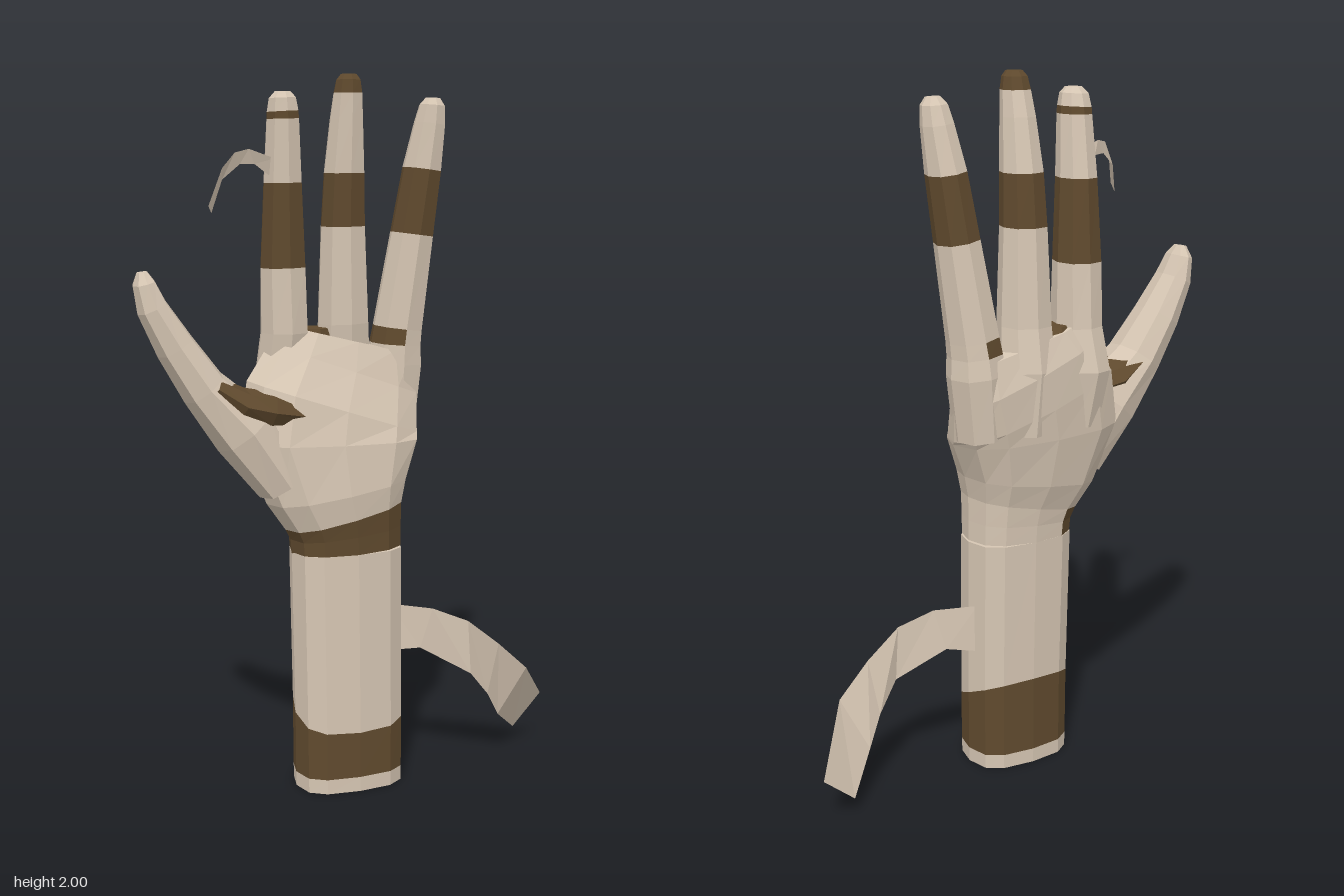
import * as THREE from 'three';

export function createModel() {
  const hand = new THREE.Group();
  hand.name = 'wrappedHand';
  const bandage = new THREE.MeshStandardMaterial({ color: 0xd6c6b3, side: THREE.DoubleSide });
  bandage.name = 'bandage';
  const stain = new THREE.MeshStandardMaterial({ color: 0x604a2e });
  stain.name = 'darkStain';

  function addFaces(name, light, dark) {
    const geo = new THREE.BufferGeometry();
    geo.setAttribute('position', new THREE.Float32BufferAttribute([...light, ...dark], 3));
    geo.addGroup(0, light.length / 3, 0);
    geo.addGroup(light.length / 3, dark.length / 3, 1);
    geo.computeVertexNormals(); // unshared corners keep every facet flat
    const mesh = new THREE.Mesh(geo, [bandage, stain]);
    mesh.name = name;
    hand.add(mesh);
  }

  // Faceted limb through sections [x, y, z, half width, half depth, dark, shear].
  // "dark" colours the band above a section: true, or a test on (cos, sin) around the limb.
  function limb(name, sections, sides = 8, squareness = 0.8) {
    const light = [], dark = [];
    const power = v => Math.sign(v) * Math.abs(v) ** squareness;
    const rings = sections.map(([x, y, z, rx, rz, , shear = 0], i) => {
      const a = sections[Math.max(i - 1, 0)], b = sections[Math.min(i + 1, sections.length - 1)];
      const len = Math.hypot(b[0] - a[0], b[1] - a[1]);
      const px = (b[1] - a[1]) / len, py = -(b[0] - a[0]) / len;
      return Array.from({ length: sides }, (_, j) => {
        const t = (j / sides) * Math.PI * 2;
        const u = power(Math.cos(t)) * rx, w = power(Math.sin(t)) * rz;
        return [x + px * u, y + py * u + shear * w, z + w];
      });
    });
    const last = rings.length - 1;
    for (let j = 0; j < sides; j++) {
      const k = (j + 1) % sides, mid = ((j + 0.5) / sides) * Math.PI * 2;
      for (let i = 0; i < last; i++) {
        const d = sections[i][5];
        const isDark = typeof d === 'function' ? d(Math.cos(mid), Math.sin(mid)) : d;
        const p = rings[i][j], q = rings[i][k], r = rings[i + 1][j], s = rings[i + 1][k];
        (isDark ? dark : light).push(...p, ...r, ...q, ...q, ...r, ...s);
      }
      // end caps
      light.push(...sections[0].slice(0, 3), ...rings[0][j], ...rings[0][k]);
      (sections[last][5] ? dark : light).push(
        ...sections[last].slice(0, 3), ...rings[last][k], ...rings[last][j]);
    }
    addFaces(name, light, dark);
  }

  // Loose bandage end between two matching edges
  function strip(name, top, bottom) {
    const faces = [];
    for (let i = 0; i < top.length - 1; i++) {
      faces.push(...bottom[i], ...bottom[i + 1], ...top[i]);
      faces.push(...top[i], ...bottom[i + 1], ...top[i + 1]);
    }
    addFaces(name, faces, []);
  }

  // Forearm with a slanted stained band
  limb('forearm', [
    [-0.055, 0, 0.02, 0.155, 0.108],
    [-0.055, 0.042, 0.02, 0.156, 0.108, true],
    [-0.055, 0.22, 0.02, 0.157, 0.108, false, -0.43],
    [-0.058, 0.69, 0.015, 0.16, 0.108],
  ], 12, 0.7);

  // Palm; the wrist stain covers the front and the thumb side
  const wristStain = (c, s) => s > 0.4 || c < -0.3;
  limb('palm', [
    [-0.058, 0.69, 0.015, 0.16, 0.108, wristStain],
    [-0.06, 0.74, 0.015, 0.162, 0.11, wristStain],
    [-0.067, 0.79, 0.015, 0.173, 0.116],
    [-0.085, 0.86, 0.008, 0.205, 0.132],
    [-0.098, 1.0, -0.01, 0.263, 0.135],
    [-0.08, 1.09, -0.025, 0.265, 0.128],
    [-0.035, 1.19, -0.055, 0.235, 0.1],
    [-0.015, 1.27, -0.06, 0.2, 0.07],
  ], 12, 0.75);

  // Thumb
  limb('thumb', [
    [-0.25, 0.89, 0.01, 0.07, 0.1],
    [-0.355, 1.045, 0.01, 0.09, 0.105],
    [-0.465, 1.165, 0.005, 0.064, 0.088],
    [-0.54, 1.28, 0, 0.054, 0.075],
    [-0.6, 1.385, 0, 0.042, 0.06],
    [-0.62, 1.45, 0, 0.03, 0.045],
    [-0.624, 1.48, 0, 0.014, 0.02],
  ]);

  // Stained skin between thumb and palm
  limb('thumbWeb', [
    [-0.445, 1.17, 0.01, 0.03, 0.085, true],
    [-0.37, 1.12, 0.015, 0.045, 0.1, true],
    [-0.29, 1.1, 0.025, 0.048, 0.092, true],
    [-0.18, 1.08, 0.04, 0.025, 0.055, true],
  ]);

  // Fingers, starting inside the palm so their roots form the knuckles
  limb('indexFinger', [
    [-0.2, 1.02, -0.07, 0.06, 0.07],
    [-0.215, 1.18, -0.085, 0.07, 0.08],
    [-0.21, 1.3, -0.06, 0.066, 0.074],
    [-0.215, 1.48, -0.052, 0.064, 0.066, true],
    [-0.218, 1.71, -0.04, 0.053, 0.058],
    [-0.222, 1.88, -0.022, 0.045, 0.048, true],
    [-0.223, 1.9, -0.02, 0.044, 0.046],
    [-0.225, 1.935, -0.015, 0.038, 0.038],
    [-0.225, 1.952, -0.012, 0.022, 0.022],
  ]);
  limb('middleFinger', [
    [-0.02, 1.02, -0.07, 0.07, 0.08],
    [-0.03, 1.2, -0.08, 0.08, 0.078],
    [-0.035, 1.32, -0.06, 0.073, 0.072],
    [-0.04, 1.59, -0.047, 0.063, 0.062, true],
    [-0.04, 1.735, -0.037, 0.057, 0.058],
    [-0.04, 1.88, -0.018, 0.046, 0.048],
    [-0.04, 1.95, -0.006, 0.04, 0.04, true],
    [-0.04, 1.985, -0.002, 0.034, 0.033, true],
    [-0.04, 2.0, 0, 0.022, 0.022, true],
  ]);
  limb('ringFinger', [
    [0.105, 1.02, -0.055, 0.07, 0.075],
    [0.12, 1.2, -0.06, 0.079, 0.08],
    [0.122, 1.255, -0.056, 0.073, 0.075, c => c < 0.3],
    [0.128, 1.3, -0.054, 0.07, 0.072],
    [0.163, 1.565, -0.035, 0.06, 0.063, true],
    [0.187, 1.745, -0.022, 0.053, 0.058],
    [0.203, 1.87, -0.006, 0.043, 0.045],
    [0.207, 1.92, 0.002, 0.035, 0.036],
    [0.208, 1.94, 0.005, 0.02, 0.02],
  ]);

  // Stained gap between index and middle finger
  limb('fingerWeb', [
    [-0.125, 1.2, -0.065, 0.045, 0.07],
    [-0.125, 1.285, -0.06, 0.045, 0.065, true],
    [-0.125, 1.31, -0.055, 0.035, 0.055, true],
  ]);

  // Loose ends of wrapping
  strip('fingerLooseStrip',
    [[-0.25, 1.775, -0.01], [-0.33, 1.8, 0.015], [-0.38, 1.79, 0.05], [-0.43, 1.75, 0.1], [-0.487, 1.655, 0.165]],
    [[-0.25, 1.72, -0.02], [-0.31, 1.76, 0], [-0.36, 1.76, 0.03], [-0.42, 1.72, 0.065], [-0.465, 1.635, 0.115]]);
  strip('forearmLooseStrip',
    [[0.09, 0.5, -0.01], [0.2, 0.49, 0.05], [0.3, 0.45, 0.08], [0.4, 0.37, 0.08], [0.5, 0.28, 0.065], [0.633, 0.135, -0.095]],
    [[0.09, 0.36, -0.01], [0.17, 0.37, 0.03], [0.31, 0.29, 0.08], [0.38, 0.21, 0.05], [0.43, 0.13, 0.02], [0.53, 0.045, -0.075]]);

  return hand;
}
